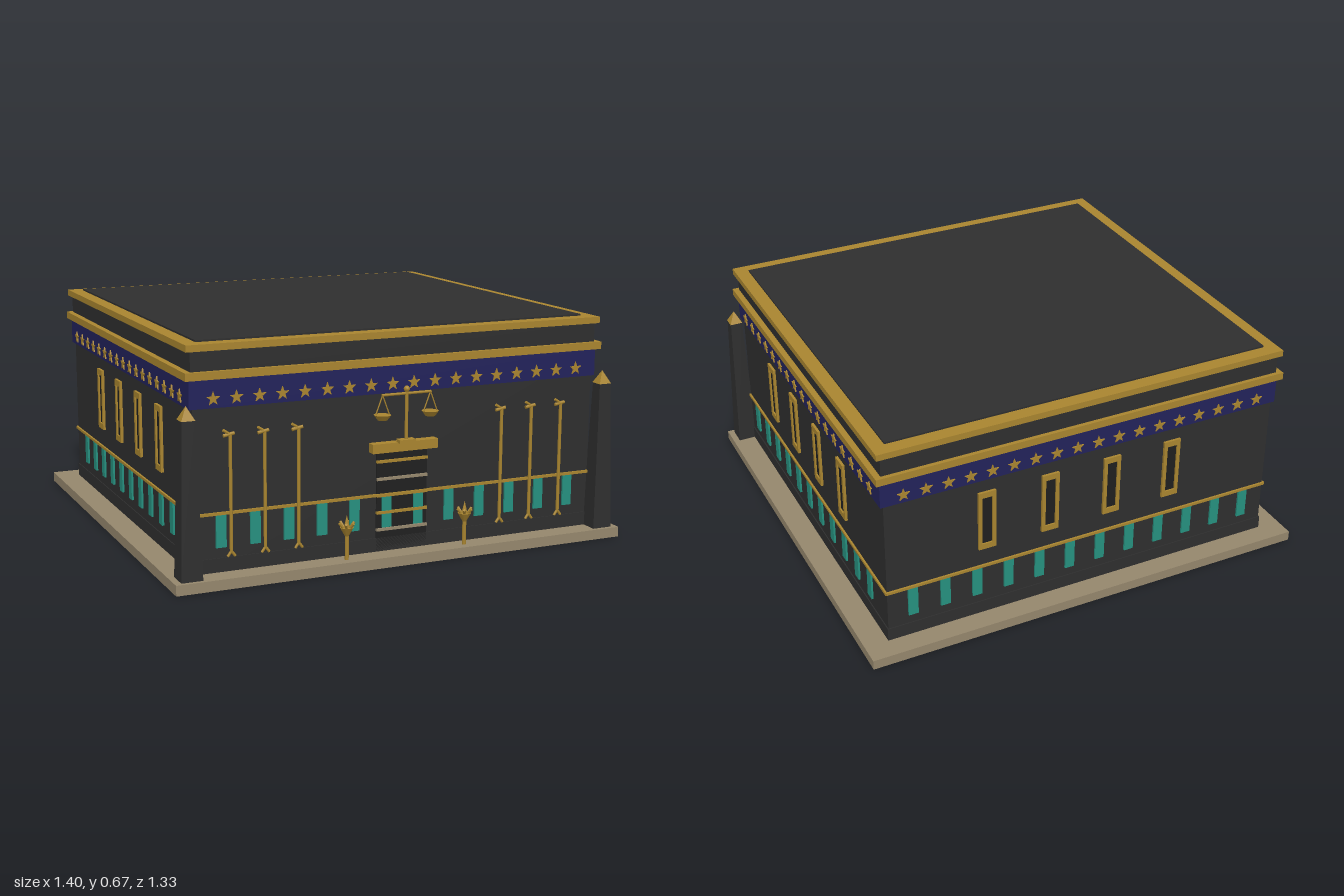
import * as THREE from 'three';

const mat = (name, color) => {
  const m = new THREE.MeshStandardMaterial({ color });
  m.name = name;
  return m;
};

export function createModel() {
  const root = new THREE.Group();
  root.name = 'temple';
  const stone = mat('charcoal stone', 0x2e2e2e);
  const gold = mat('gold', 0xa8842f);
  const navy = mat('navy', 0x22225a);
  const teal = mat('teal', 0x26907f);
  const sand = mat('sandstone', 0x94866c);
  const dark = mat('black stone', 0x1f1f1f);

  const add = (parent, name, geo, material, x = 0, y = 0, z = 0) => {
    const m = new THREE.Mesh(geo, material);
    m.name = name;
    m.position.set(x, y, z);
    parent.add(m);
    return m;
  };
  const box = (parent, name, material, w, h, d, x, y, z) =>
    add(parent, name, new THREE.BoxGeometry(w, h, d), material, x, y, z);
  // full-width tier between two heights
  const tier = (name, material, hx, hz, y0, y1) =>
    box(root, name, material, hx * 2, y1 - y0, hz * 2, 0, (y0 + y1) / 2, 0);
  // thin round rod between two points
  const rod = (parent, name, material, a, b, r) => {
    const p = new THREE.Vector3(...a), q = new THREE.Vector3(...b);
    const m = add(parent, name, new THREE.CylinderGeometry(r, r, p.distanceTo(q), 8), material);
    m.position.copy(p).add(q).multiplyScalar(0.5);
    m.quaternion.setFromUnitVectors(new THREE.Vector3(0, 1, 0), q.sub(p).normalize());
    return m;
  };

  // Stacked tiers of the building
  tier('base', sand, 0.7, 0.667, 0, 0.03);
  tier('body', stone, 0.625, 0.6, 0, 0.57);
  tier('plinth', stone, 0.628, 0.603, 0.03, 0.07);
  tier('starBand', navy, 0.635, 0.605, 0.49, 0.57);
  tier('lowerCornice', gold, 0.648, 0.617, 0.57, 0.592);
  tier('attic', stone, 0.63, 0.605, 0.592, 0.647);
  tier('upperCornice', gold, 0.643, 0.612, 0.647, 0.666);
  tier('roof', stone, 0.602, 0.57, 0.66, 0.671);

  // Star outline
  const starShape = new THREE.Shape();
  for (let i = 0; i < 10; i++) {
    const r = i % 2 ? 0.008 : 0.02, a = Math.PI / 2 + i * Math.PI / 5;
    starShape[i ? 'lineTo' : 'moveTo'](r * Math.cos(a), r * Math.sin(a));
  }
  starShape.closePath();
  const starGeo = new THREE.ExtrudeGeometry(starShape, { depth: 0.004, bevelEnabled: false });

  // Window frame with an open middle
  const rect = (Type, w, h) => new Type([
    [-w, -h], [w, -h], [w, h], [-w, h]].map(p => new THREE.Vector2(...p)));
  const frameShape = rect(THREE.Shape, 0.027, 0.096);
  frameShape.holes.push(rect(THREE.Path, 0.016, 0.078));
  const frameGeo = new THREE.ExtrudeGeometry(frameShape, { depth: 0.008, bevelEnabled: false });

  // Four decorated walls, each built facing +z then turned
  const walls = [
    { name: 'frontWall', turn: 0, half: 0.625, dist: 0.6, stars: 18, panels: 12, flip: 1, windows: 0 },
    { name: 'leftWall', turn: Math.PI / 2, half: 0.6, dist: 0.625, stars: 17, panels: 11, flip: 1, windows: 4 },
    { name: 'backWall', turn: Math.PI, half: 0.625, dist: 0.6, stars: 18, panels: 12, flip: 1, windows: 4 },
    { name: 'rightWall', turn: -Math.PI / 2, half: 0.6, dist: 0.625, stars: 17, panels: 11, flip: -1, windows: 4 }
  ];
  for (const w of walls) {
    const g = new THREE.Group();
    g.name = w.name;
    g.rotation.y = w.turn;
    root.add(g);
    const bandFace = w.dist === 0.6 ? 0.605 : 0.635;
    for (let i = 0; i < w.stars; i++)
      add(g, 'star', starGeo, gold, (i - (w.stars - 1) / 2) * 0.0667, 0.516, bandFace);
    box(g, 'dadoLine', gold, w.half * 2 + 0.008, 0.008, 0.008, 0, 0.196, w.dist + 0.002);
    for (let i = 0; i < w.panels; i++)
      box(g, 'tealPanel', teal, 0.03, 0.092, 0.008, w.flip * (-w.half + 0.077 + i * 0.1), 0.146, w.dist + 0.002);
    for (let i = 0; i < w.windows; i++) {
      const x = w.flip * (-0.317 + i * 0.2);
      add(g, 'windowFrame', frameGeo, gold, x, 0.354, w.dist);
      box(g, 'windowPane', dark, 0.032, 0.156, 0.004, x, 0.354, w.dist + 0.001);
    }
  }

  // Doorway with lintel and crossbars
  const door = new THREE.Group();
  door.name = 'door';
  root.add(door);
  box(door, 'doorPanel', dark, 0.16, 0.29, 0.004, 0, 0.175, 0.601);
  box(door, 'lintel', gold, 0.205, 0.027, 0.03, 0, 0.337, 0.612);
  [0.294, 0.243, 0.195, 0.145, 0.095].forEach((y, i) =>
    box(door, 'doorBar', i % 2 && i !== 3 || i === 4 ? sand : gold, 0.16, 0.008, 0.01, 0, y, 0.604));

  // Balance scales on the lintel
  const scales = new THREE.Group();
  scales.name = 'scales';
  scales.position.z = 0.628;
  root.add(scales);
  box(scales, 'scalesFoot', gold, 0.05, 0.01, 0.025, 0, 0.354, 0);
  rod(scales, 'scalesPost', gold, [0, 0.35, 0], [0, 0.5, 0], 0.005);
  add(scales, 'scalesKnob', new THREE.SphereGeometry(0.009, 10, 8), gold, 0, 0.503, 0);
  rod(scales, 'scalesBeam', gold, [-0.077, 0.49, 0], [0.077, 0.49, 0], 0.004);
  for (const s of [-1, 1]) {
    for (const d of [-1, 1])
      rod(scales, 'scalesChain', gold, [s * 0.075, 0.49, 0], [s * 0.075 + d * 0.021, 0.435, 0], 0.002);
    add(scales, 'scalesPan', new THREE.CylinderGeometry(0.025, 0.014, 0.015, 12), gold, s * 0.075, 0.427, 0);
  }

  // Tall staffs with slanted heads and forked feet
  for (const x of [-0.52, -0.42, -0.32, 0.32, 0.42, 0.52]) {
    const staff = new THREE.Group();
    staff.name = 'staff';
    staff.position.set(x, 0, 0.607);
    root.add(staff);
    rod(staff, 'staffShaft', gold, [0, 0.085, 0], [0, 0.415, 0], 0.005);
    rod(staff, 'staffHead', gold, [0.012, 0.418, 0], [-0.02, 0.412, 0], 0.005);
    rod(staff, 'staffEar', gold, [0.0, 0.415, 0], [-0.02, 0.428, 0], 0.004);
    for (const s of [-1, 1])
      rod(staff, 'staffFork', gold, [0, 0.088, 0], [s * 0.011, 0.073, 0], 0.004);
  }

  // Flower-headed stands beside the door
  for (const s of [-1, 1]) {
    const stand = new THREE.Group();
    stand.name = 'flowerStand';
    stand.position.set(s * 0.187, 0, 0.637);
    root.add(stand);
    rod(stand, 'stem', gold, [0, 0.03, 0], [0, 0.12, 0], 0.006);
    add(stand, 'flowerCup', new THREE.CylinderGeometry(0.02, 0.006, 0.025, 10), gold, 0, 0.112, 0);
    for (let i = 0; i < 6; i++) {
      const a = i * Math.PI / 3;
      rod(stand, 'petal', gold, [0, 0.11, 0], [0.023 * Math.cos(a), 0.138, 0.023 * Math.sin(a)], 0.004);
    }
    add(stand, 'bud', new THREE.ConeGeometry(0.01, 0.04, 8), gold, 0, 0.14, 0);
  }

  // Corner obelisks: tapered square shafts with gold caps
  for (const s of [-1, 1]) {
    const obelisk = new THREE.Group();
    obelisk.name = 'obelisk';
    obelisk.position.set(s * 0.65, 0, 0.624);
    root.add(obelisk);
    const shaft = new THREE.CylinderGeometry(0.026, 0.044, 0.44, 4).toNonIndexed();
    shaft.computeVertexNormals();
    add(obelisk, 'obeliskShaft', shaft, stone, 0, 0.25, 0).rotation.y = Math.PI / 4;
    const cap = new THREE.ConeGeometry(0.028, 0.038, 4).toNonIndexed();
    cap.computeVertexNormals();
    add(obelisk, 'obeliskCap', cap, gold, 0, 0.488, 0).rotation.y = Math.PI / 4;
  }
  return root;
}
